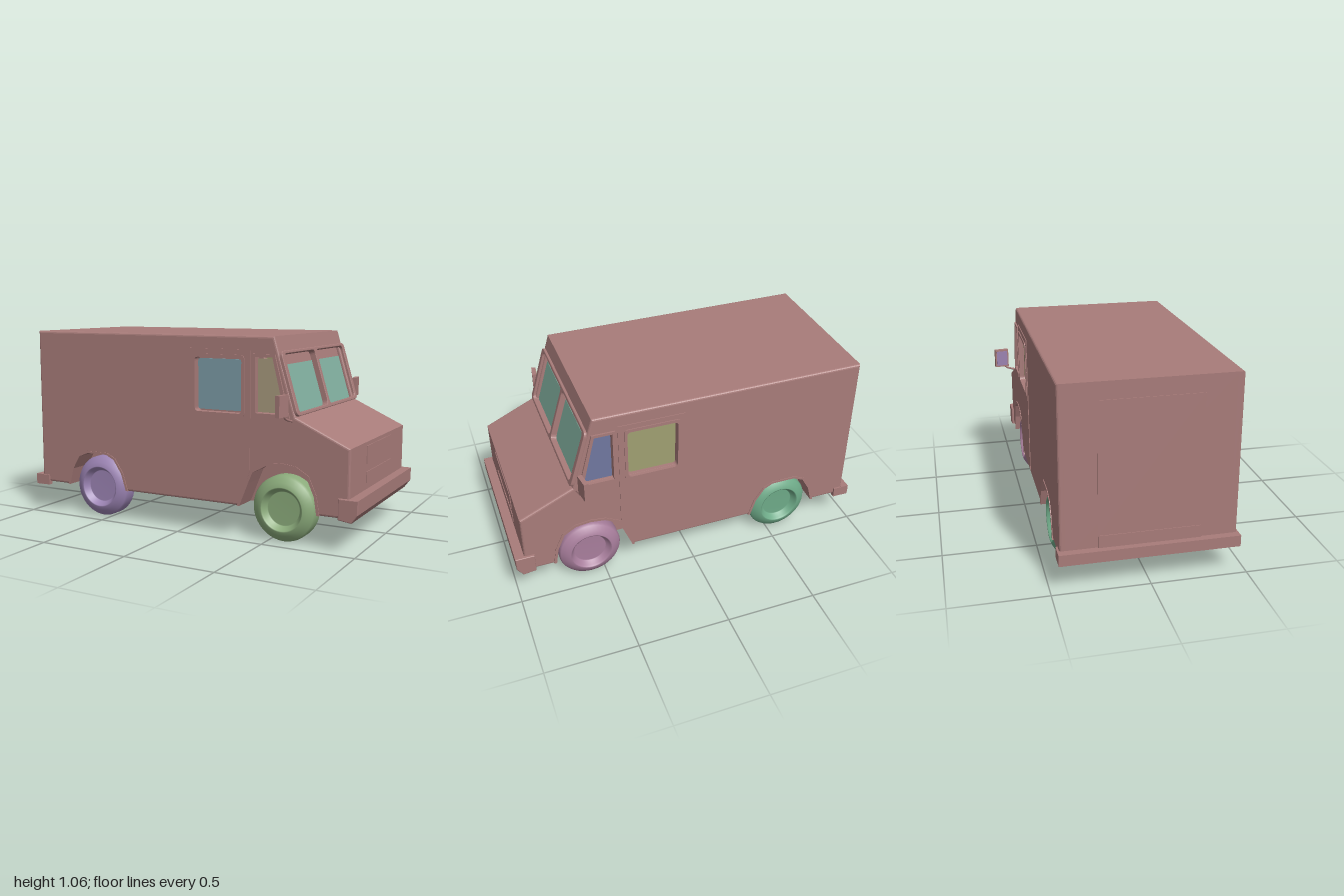
import * as THREE from 'three';

const BODY = 0xa87c7a;

const shapeOf = (pts) => new THREE.Shape(pts.map(([x, y]) => new THREE.Vector2(x, y)));

// Rounded rectangle as a shape or hole
function roundRect(x0, y0, x1, y1, r, Kind = THREE.Shape) {
  const p = new Kind();
  p.moveTo(x0 + r, y0);
  p.lineTo(x1 - r, y0);
  p.quadraticCurveTo(x1, y0, x1, y0 + r);
  p.lineTo(x1, y1 - r);
  p.quadraticCurveTo(x1, y1, x1 - r, y1);
  p.lineTo(x0 + r, y1);
  p.quadraticCurveTo(x0, y1, x0, y1 - r);
  p.lineTo(x0, y0 + r);
  p.quadraticCurveTo(x0, y0, x0 + r, y0);
  return p;
}

// Extrusion between two z values; a bevel keeps the outline and total depth
function extrude(shape, z0, z1, bevel = 0) {
  const geo = new THREE.ExtrudeGeometry(shape, {
    depth: z1 - z0 - 2 * bevel, bevelEnabled: bevel > 0, bevelSize: bevel,
    bevelThickness: bevel, bevelOffset: -bevel, bevelSegments: 3, curveSegments: 5,
  });
  return geo.translate(0, 0, z0 + bevel);
}

export function createModel() {
  const van = new THREE.Group();
  const materials = {};
  const add = (name, geo, color = BODY, parent = van) => {
    materials[color] ??= new THREE.MeshStandardMaterial({ color });
    const mesh = new THREE.Mesh(geo, materials[color]);
    mesh.name = name;
    parent.add(mesh);
    return mesh;
  };
  const box = (name, x0, x1, y0, y1, z0, z1, color) => add(name,
    new THREE.BoxGeometry(x1 - x0, y1 - y0, z1 - z0)
      .translate((x0 + x1) / 2, (y0 + y1) / 2, (z0 + z1) / 2), color);
  // Extrusion on one side of the van, z0 < z1 measured outward
  const sidePart = (name, shape, s, z0, z1, bevel, color) =>
    add(name, s > 0 ? extrude(shape, z0, z1, bevel) : extrude(shape, -z1, -z0, bevel), color);

  // Wheel arch outlines
  const arches = [
    { cx: -0.565, pts: [[-0.19, 0.175], [-0.165, 0.27], [-0.12, 0.345], [-0.06, 0.37], [0.07, 0.37],
      [0.12, 0.345], [0.17, 0.27], [0.2, 0.175]] },
    { cx: 0.58, pts: [[-0.23, 0.175], [-0.18, 0.3], [-0.155, 0.36], [-0.08, 0.4], [0, 0.41],
      [0.08, 0.4], [0.145, 0.36], [0.185, 0.27], [0.2, 0.175]] },
  ].map(({ cx, pts }) => pts.map(([x, y]) => [x + cx, y]));

  const cabWindow = [[0.44, 0.67], [0.605, 0.67], [0.535, 0.955], [0.44, 0.955]];
  const cabFrame = [[0.425, 0.655], [0.63, 0.655], [0.548, 0.97], [0.425, 0.97]];
  const cabGlass = [[0.443, 0.673], [0.595, 0.673], [0.528, 0.945], [0.443, 0.945]];
  const doorHole = () => roundRect(0.088, 0.66, 0.362, 0.945, 0.02, THREE.Path);
  const cabHole = () => new THREE.Path(cabWindow.map(([x, y]) => new THREE.Vector2(x, y)));

  const sideGlass = { 1: [0x7c9ca6, 0xa89a7e], '-1': [0xa0a072, 0x7078a0] };
  const mirrorColor = { 1: 0xa89a7e, '-1': 0x9a82b0 };

  for (const s of [1, -1]) {
    // Side wall with window openings and arch cut-outs
    const wall = shapeOf([[-0.96, 0.175], ...arches[0], ...arches[1], [0.95, 0.175],
      [0.95, 0.525], [0.66, 0.66], [0.54, 1.06], [-0.96, 1.06]]);
    wall.holes.push(doorHole(), cabHole());
    sidePart('sideWall', wall, s, 0.4, 0.45, 0.012);

    // Sliding door skin, cab window frame and panes
    const door = shapeOf([[0.05, 0.2], [0.355, 0.2], [0.41, 0.37], [0.41, 0.99], [0.05, 0.99]]);
    door.holes.push(doorHole());
    sidePart('sideDoor', door, s, 0.44, 0.454);
    const trim = roundRect(0.072, 0.64, 0.378, 0.962, 0.025);
    trim.holes.push(doorHole());
    sidePart('doorWindowTrim', trim, s, 0.44, 0.459);
    const frame = shapeOf(cabFrame);
    frame.holes.push(cabHole());
    sidePart('cabWindowFrame', frame, s, 0.44, 0.459);
    sidePart('doorGlass', roundRect(0.094, 0.67, 0.355, 0.937, 0.015), s, 0.422, 0.43, 0, sideGlass[s][0]);
    sidePart('cabGlass', shapeOf(cabGlass), s, 0.422, 0.43, 0, sideGlass[s][1]);

    // Wheel wells: arched lining with a closed inner face
    for (const arch of arches) {
      const mid = (arch[0][0] + arch.at(-1)[0]) / 2;
      const outer = arch.map(([x, y]) => [mid + (x - mid) * 1.07, 0.175 + (y - 0.175) * 1.06]);
      sidePart('wheelArch', shapeOf([...arch, ...outer.reverse()]), s, 0.31, 0.454);
      sidePart('wheelWellInnerWall', shapeOf([...arch].reverse()), s, 0.305, 0.315);
    }

    // Mirror on a curved arm
    const arm = new THREE.CatmullRomCurve3([[0.64, 0.64, 0.445], [0.635, 0.65, 0.485],
      [0.63, 0.665, 0.515], [0.63, 0.7, 0.53]].map(([x, y, z]) => new THREE.Vector3(x, y, z * s)));
    add('mirrorArm', new THREE.TubeGeometry(arm, 10, 0.006, 6));
    const mirror = new THREE.Group();
    mirror.name = 'sideMirror';
    mirror.position.set(0.625, 0.725, 0.54 * s);
    mirror.rotation.y = -0.15 * s;
    van.add(mirror);
    add('mirrorHousing', new THREE.BoxGeometry(0.024, 0.108, 0.082), BODY, mirror);
    add('mirrorGlass', new THREE.BoxGeometry(0.006, 0.09, 0.066).translate(-0.012, 0, 0), mirrorColor[s], mirror);

    // Sill floor between and beside the wheel wells
    for (const [x0, x1] of [[-0.95, -0.755], [-0.365, 0.35], [0.78, 0.94]])
      box('floorSide', x0, x1, 0.195, 0.21, s > 0 ? 0.305 : -0.42, s > 0 ? 0.42 : -0.305);
  }

  // Skins running across the van
  add('rearWallAndRoof', extrude(shapeOf([[-0.96, 0.175], [-0.93, 0.175], [-0.93, 1.03],
    [0.549, 1.03], [0.54, 1.06], [-0.96, 1.06]]), -0.42, 0.42));
  add('hoodAndNose', extrude(shapeOf([[0.92, 0.175], [0.95, 0.175], [0.95, 0.525], [0.66, 0.66],
    [0.63, 0.66], [0.63, 0.64], [0.92, 0.505]]), -0.42, 0.42));
  box('floor', -0.95, 0.94, 0.195, 0.21, -0.31, 0.31);

  // Sloped windshield: u runs across, v runs up the slope
  const screen = new THREE.Group();
  screen.name = 'windshield';
  screen.position.set(0.66, 0.66, 0);
  screen.rotation.set(0, Math.PI / 2, Math.atan2(0.12, 0.4), 'ZYX');
  van.add(screen);
  const paneHoles = (shape) => {
    for (const u of [-0.412, 0.014]) shape.holes.push(roundRect(u, 0.02, u + 0.398, 0.322, 0.025, THREE.Path));
    return shape;
  };
  add('windshieldPanel', extrude(paneHoles(roundRect(-0.435, 0, 0.435, 0.415, 0.005)), -0.03, 0), BODY, screen);
  add('windshieldTrim', extrude(paneHoles(roundRect(-0.446, 0.002, 0.446, 0.338, 0.03)), -0.01, 0.014, 0.004), BODY, screen);
  for (const u of [-0.213, 0.213])
    add('windshieldGlass', new THREE.BoxGeometry(0.41, 0.262, 0.008).translate(u, 0.14, -0.022), 0x82b0a0, screen);
  add('windshieldHeader', new THREE.BoxGeometry(0.84, 0.07, 0.008).translate(0, 0.304, -0.024), BODY, screen);

  // Nose panels, rear door and step
  box('upperGrille', 0.94, 0.954, 0.41, 0.505, -0.203, 0.203);
  box('lowerGrille', 0.94, 0.954, 0.312, 0.37, -0.203, 0.203);
  box('rearDoor', -0.964, -0.95, 0.28, 0.97, -0.26, 0.26);
  box('rearStep', -0.968, -0.95, 0.215, 0.28, -0.26, 0.26);

  // Bumpers
  add('frontBumper', extrude(shapeOf([[0.895, 0.17], [0.965, 0.16], [0.998, 0.205], [1, 0.278],
    [0.895, 0.278]]), -0.464, 0.464, 0.005));
  box('rearBumper', -1, -0.955, 0.155, 0.215, -0.46, 0.46);
  for (const z of [-0.46, 0.43]) box('rearBumperEnd', -0.999, -0.908, 0.156, 0.214, z, z + 0.03);

  // Wheels (radius, distance outward) and axles
  const wheelProfile = [[0, 0.33], [0.168, 0.33], [0.174, 0.336], [0.174, 0.395], [0.166, 0.408], [0.14, 0.426],
    [0.118, 0.436], [0.112, 0.434], [0.108, 0.424], [0.092, 0.402], [0.088, 0.4], [0, 0.4]]
    .map(([r, z]) => new THREE.Vector2(r, z));
  const wheels = [['rear', -0.56, 1, 0x9c84b4], ['front', 0.58, 1, 0x8cac7c],
    ['rear', -0.56, -1, 0x6eaa88], ['front', 0.58, -1, 0xa87e9c]];
  for (const [end, x, s, color] of wheels) {
    const wheel = add(end + 'Wheel', new THREE.LatheGeometry(wheelProfile, 40), color);
    wheel.position.set(x, 0.176, 0);
    wheel.rotation.x = s * Math.PI / 2;
  }
  for (const x of [-0.56, 0.58])
    add('axle', new THREE.CylinderGeometry(0.06, 0.06, 0.67, 12).rotateX(Math.PI / 2).translate(x, 0.176, 0));

  return van;
}
